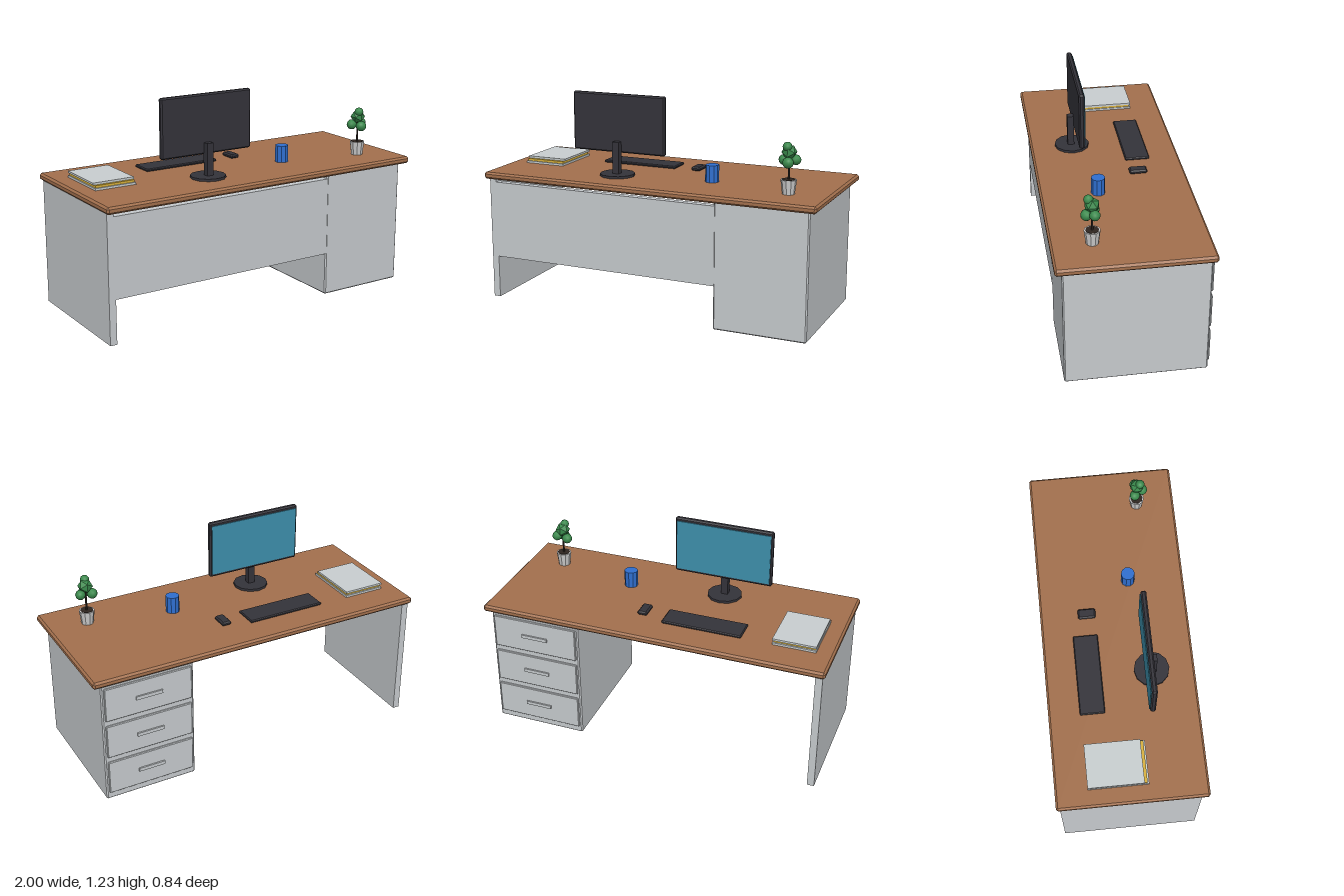
import * as THREE from 'three';
import { ConvexGeometry } from 'three/addons/geometries/ConvexGeometry.js';

const paint = (name, color) => {
  const m = new THREE.MeshStandardMaterial({ color });
  m.name = name;
  return m;
};

// Box with cut-off edges: each corner becomes three points.
function chamferBox(w, h, d, c) {
  const pts = [];
  for (const sx of [-1, 1]) for (const sy of [-1, 1]) for (const sz of [-1, 1]) {
    for (const cut of [[0, 1, 1], [1, 0, 1], [1, 1, 0]]) {
      pts.push(new THREE.Vector3(
        sx * (w / 2 - c * cut[0]), sy * (h / 2 - c * cut[1]), sz * (d / 2 - c * cut[2])));
    }
  }
  return new ConvexGeometry(pts);
}

export function createModel() {
  const root = new THREE.Group();
  root.name = 'officeDesk';
  const grey = paint('panelGrey', 0xc6cacd);
  const wood = paint('wood', 0xa3704d);
  const dark = paint('darkPlastic', 0x34333a);
  const glass = paint('screenTeal', 0x3d8fab);
  const blue = paint('mugBlue', 0x2f6fd0);
  const green = paint('leafGreen', 0x3a8a4c);
  const yellow = paint('bookYellow', 0xd9b13b);
  const paper = paint('paper', 0xc9cfd1);
  const potGrey = paint('potGrey', 0xcdcdcd);
  const soil = paint('soilBrown', 0x2f2620);

  const add = (name, geo, mat, x, y, z, parent = root) => {
    const m = new THREE.Mesh(geo, mat);
    m.name = name;
    m.position.set(x, y, z);
    parent.add(m);
    return m;
  };
  const group = (name) => {
    const g = new THREE.Group();
    g.name = name;
    root.add(g);
    return g;
  };
  // Box given by its limits on each axis, chamfered when c > 0.
  const block = (name, mat, [x0, x1], [y0, y1], [z0, z1], c = 0, parent = root) => {
    const s = [x1 - x0, y1 - y0, z1 - z0];
    const geo = c ? chamferBox(...s, c) : new THREE.BoxGeometry(...s);
    return add(name, geo, mat, (x0 + x1) / 2, (y0 + y1) / 2, (z0 + z1) / 2, parent);
  };
  // Upright faceted cylinder standing on y0.
  const drum = (name, mat, rTop, rBottom, y0, y1, sides, x, z, parent) => {
    const geo = new THREE.CylinderGeometry(rTop, rBottom, y1 - y0, sides).toNonIndexed();
    geo.computeVertexNormals();
    return add(name, geo, mat, x, (y0 + y1) / 2, z, parent);
  };

  // Desk body
  block('desktop', wood, [-1, 1], [0.723, 0.763], [-0.42, 0.42], 0.011);
  block('sidePanel', grey, [-0.985, -0.945], [0, 0.723], [-0.4, 0.38]);
  block('modestyPanel', grey, [-0.945, 0.425], [0.25, 0.7], [0.34, 0.38]);
  block('drawerPedestal', grey, [0.42, 0.955], [0, 0.723], [-0.4, 0.38], 0.007);

  // Three drawers on the sitting side
  const drawers = group('drawers');
  for (let i = 0; i < 3; i++) {
    const y = 0.143 + i * 0.231;
    block('drawerFront', grey, [0.435, 0.94], [y - 0.1, y + 0.1], [-0.411, -0.396], 0.004, drawers);
    block('drawerHandle', grey, [0.61, 0.765], [y - 0.01, y + 0.01], [-0.42, -0.41], 0, drawers);
  }

  // Monitor, facing the drawer side
  const monitor = group('monitor');
  drum('standBase', dark, 0.1, 0.1, 0.763, 0.777, 12, -0.255, 0.178, monitor);
  block('standPost', dark, [-0.275, -0.235], [0.77, 0.96], [0.165, 0.203], 0, monitor);
  block('monitorCase', dark, [-0.54, 0.035], [0.893, 1.23], [0.136, 0.167], 0.008, monitor);
  block('screen', glass, [-0.528, 0.023], [0.911, 1.212], [0.131, 0.138], 0, monitor);

  // Keyboard and mouse
  block('keyboard', dark, [-0.485, -0.022], [0.762, 0.778], [-0.245, -0.104], 0.005);
  block('mouse', dark, [0.08, 0.137], [0.762, 0.786], [-0.205, -0.104], 0.008);

  // Stack of books
  const books = group('bookStack');
  block('bottomBook', paper, [-0.905, -0.66], [0.763, 0.775], [-0.24, 0.095], 0, books);
  block('middleBook', yellow, [-0.9, -0.665], [0.775, 0.788], [-0.23, 0.086], 0, books);
  block('topBook', paper, [-0.905, -0.66], [0.788, 0.8], [-0.24, 0.07], 0, books);

  drum('mug', blue, 0.039, 0.039, 0.763, 0.86, 10, 0.297, 0.1);

  // Potted plant
  const plant = group('pottedPlant');
  const px = 0.777, pz = 0.2;
  drum('pot', potGrey, 0.044, 0.034, 0.763, 0.842, 10, px, pz, plant);
  drum('soil', soil, 0.036, 0.036, 0.836, 0.844, 10, px, pz, plant);
  drum('trunk', soil, 0.005, 0.006, 0.84, 0.96, 6, px, pz, plant);
  const leaves = [
    [0, 0.992, 0, 0.043], [-0.006, 1.023, 0.017, 0.026],
    [-0.033, 0.945, -0.014, 0.03], [0.034, 0.95, -0.01, 0.029], [0.003, 0.938, 0.03, 0.031],
  ];
  leaves.forEach(([x, y, z, r], i) => {
    const leaf = add('foliage', new THREE.IcosahedronGeometry(r, i ? 1 : 0), green, px + x, y, pz + z, plant);
    leaf.rotation.y = i * 0.9;
  });

  return root;
}
